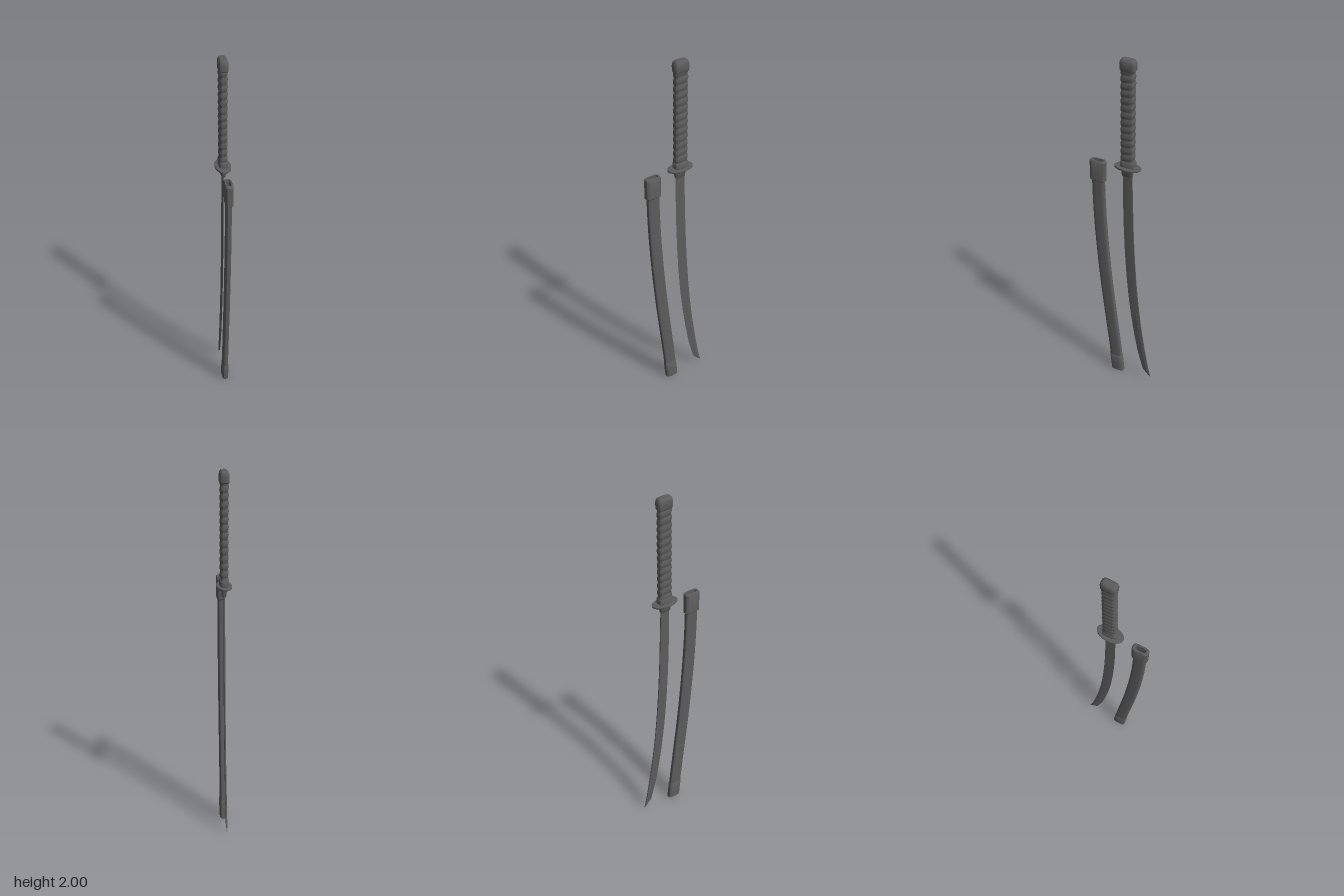
import * as THREE from 'three';
import { toCreasedNormals } from 'three/addons/utils/BufferGeometryUtils.js';

const steel = new THREE.MeshStandardMaterial({ color: 0x5c5c5c });
steel.name = 'dark grey';

// Skin a list of closed rings (bottom to top) and cap both ends.
function loft(rings, crease = 0.6) {
  const n = rings[0].length, pos = [], idx = [];
  rings.forEach(r => r.forEach(p => pos.push(...p)));
  for (let i = 0; i < rings.length - 1; i++) {
    for (let j = 0; j < n; j++) {
      const a = i * n + j, b = i * n + (j + 1) % n, c = a + n, d = b + n;
      idx.push(a, c, b, b, c, d);
    }
  }
  [0, rings.length - 1].forEach((row, end) => {
    const centre = pos.length / 3;
    pos.push(...[0, 1, 2].map(k => rings[row].reduce((s, p) => s + p[k], 0) / n));
    for (let j = 0; j < n; j++) {
      const a = row * n + j, b = row * n + (j + 1) % n;
      idx.push(centre, ...(end ? [b, a] : [a, b]));
    }
  });
  const geo = new THREE.BufferGeometry();
  geo.setAttribute('position', new THREE.Float32BufferAttribute(pos, 3));
  geo.setIndex(idx);
  return toCreasedNormals(geo, crease);
}

// Rounded-rectangle ring; power 2 is an ellipse, higher is squarer.
function ring(y, z, hx, hz, power = 4, segs = 32, swell = () => 0) {
  return Array.from({ length: segs }, (_, j) => {
    const a = j / segs * Math.PI * 2, c = Math.cos(a), s = Math.sin(a), w = swell(a);
    const f = v => Math.sign(v) * Math.abs(v) ** (2 / power);
    return [f(c) * (hx + w), y, z + f(s) * (hz + w)];
  });
}

// Smooth curve through [y, z] points, returned as a function of y.
function bend(points) {
  const list = new THREE.SplineCurve(points.map(p => new THREE.Vector2(...p))).getPoints(200);
  return y => {
    const i = Math.max(1, list.findIndex(p => p.x >= y));
    const a = list[i - 1], b = list[i];
    return a.y + (b.y - a.y) * (y - a.x) / (b.x - a.x);
  };
}

function add(group, name, geo) {
  const mesh = new THREE.Mesh(geo, steel);
  mesh.name = name;
  group.add(mesh);
}

function makeSword() {
  const g = new THREE.Group();
  g.name = 'sword';
  const Z = -0.033;

  // Curved blade: sharp edge at the front, flat spine at the back
  const edge = bend([[0.06, -0.134], [0.2, -0.096], [0.4, -0.061], [0.6, -0.036], [0.8, -0.02], [1.0, -0.01], [1.2, -0.005], [1.38, -0.004]]);
  const spine = bend([[0.06, -0.17], [0.2, -0.144], [0.4, -0.114], [0.6, -0.092], [0.8, -0.077], [1.0, -0.067], [1.2, -0.061], [1.38, -0.056]]);
  const slice = (y, e, s, t) => {
    const ridge = s + (e - s) * 0.35;
    return [[t, y, ridge], [0, y, e], [-t, y, ridge], [-t * 0.7, y, s], [t * 0.7, y, s]];
  };
  const rows = [slice(0.012, -0.182, -0.183, 0.0005)];
  for (let i = 0; i <= 30; i++) {
    const y = 0.061 + i / 30 * 1.315;
    rows.push(slice(y, edge(y), spine(y), 0.0045));
  }
  add(g, 'blade', loft(rows, 0.2));

  // Fittings around the guard
  add(g, 'bladeCollar', loft([
    ring(1.345, -0.03, 0.009, 0.028), ring(1.35, -0.03, 0.012, 0.03), ring(1.396, -0.03, 0.014, 0.032)]));
  add(g, 'guard', loft([
    ring(1.392, -0.032, 0.039, 0.071, 2, 48), ring(1.395, -0.032, 0.042, 0.074, 2, 48),
    ring(1.402, -0.032, 0.042, 0.074, 2, 48), ring(1.405, -0.032, 0.039, 0.071, 2, 48)]));
  add(g, 'gripCollar', loft([
    ring(1.403, Z, 0.021, 0.037), ring(1.407, Z, 0.024, 0.041), ring(1.432, Z, 0.024, 0.041),
    ring(1.438, Z, 0.021, 0.037)]));

  // Grip bound with a spiral cord
  const grip = [];
  for (let i = 0; i <= 144; i++) {
    const y = 1.435 + i / 144 * 0.51;
    const cord = a => 0.0045 * Math.abs(Math.sin(Math.PI * (y / 0.04 + a / (Math.PI * 2))));
    grip.push(ring(y, Z, 0.018, 0.0335, 3.6, 32, cord));
  }
  add(g, 'wrappedGrip', loft(grip, 0.8));

  add(g, 'pommel', loft([
    ring(1.938, Z, 0.022, 0.037), ring(1.943, Z, 0.025, 0.041), ring(1.972, Z, 0.025, 0.043),
    ring(1.985, Z, 0.024, 0.041), ring(1.995, Z, 0.02, 0.037), ring(2.0, Z, 0.014, 0.031)]));
  return g;
}

function makeScabbard() {
  const g = new THREE.Group();
  g.name = 'scabbard';
  const mid = bend([[0, 0.025], [0.2, 0.046], [0.4, 0.07], [0.6, 0.093], [0.8, 0.112], [1.0, 0.127], [1.2, 0.136], [1.4, 0.138]]);

  const body = [];
  for (let i = 0; i <= 30; i++) {
    const y = 0.05 + i / 30 * 1.25;
    body.push(ring(y, mid(y), 0.0145, 0.035));
  }
  add(g, 'scabbardBody', loft(body));

  add(g, 'endCap', loft([[0, 0.013, 0.032], [0.005, 0.017, 0.036], [0.05, 0.0178, 0.0365],
    [0.106, 0.0178, 0.0365], [0.111, 0.0145, 0.035]].map(([y, hx, hz]) => ring(y, mid(y), hx, hz))));

  // Mouth with a sunken slot for the blade
  add(g, 'scabbardMouth', loft([[1.277, 0.016, 0.037], [1.282, 0.0205, 0.043], [1.392, 0.0215, 0.0445],
    [1.399, 0.017, 0.039], [1.399, 0.011, 0.03], [1.3, 0.011, 0.03]]
    .map(([y, hx, hz]) => ring(y, 0.1385, hx, hz))));
  return g;
}

export function createModel() {
  const model = new THREE.Group();
  model.name = 'swordAndScabbard';
  model.add(makeSword(), makeScabbard());
  return model;
}
